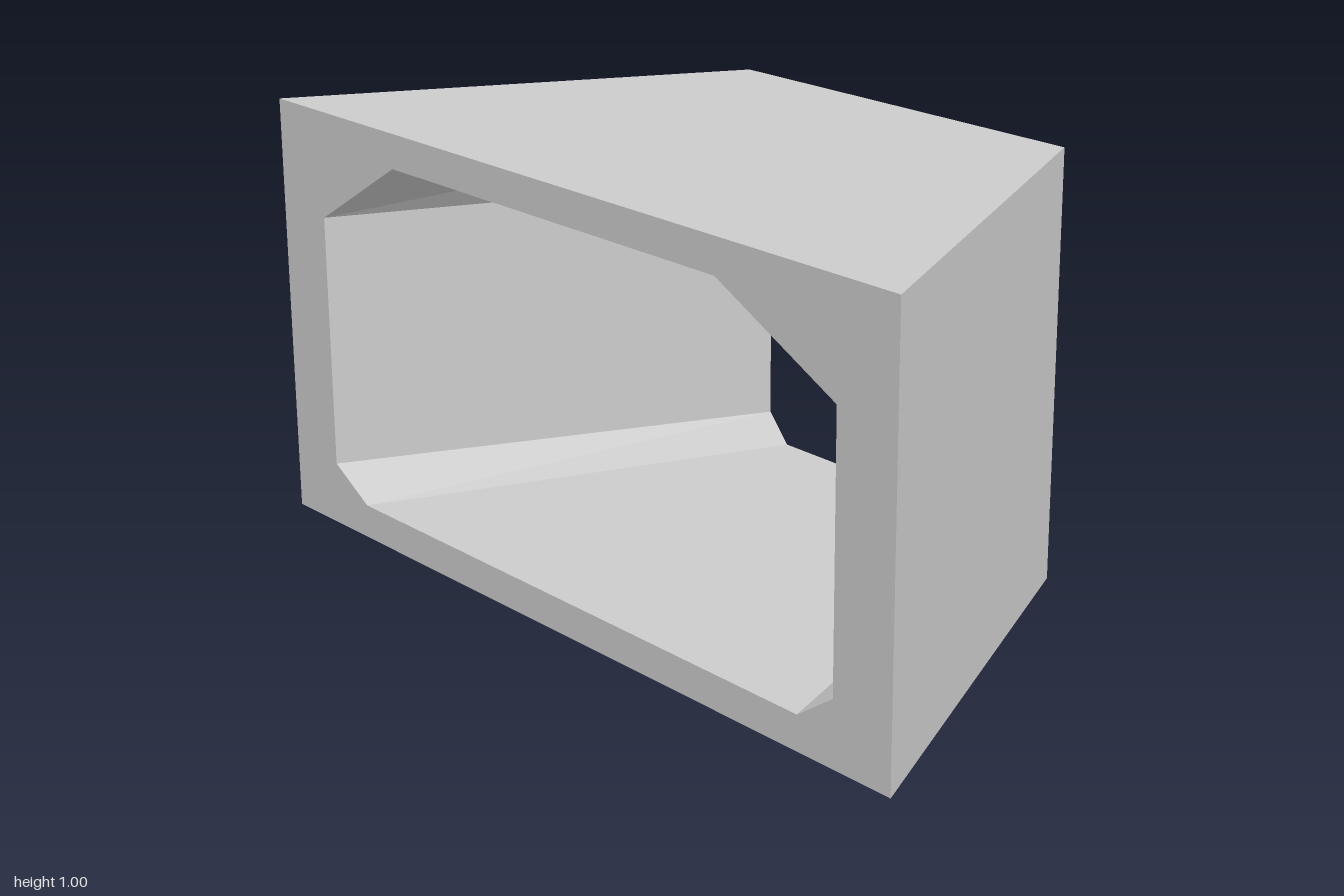
import * as THREE from 'three';

export function createModel() {
  const group = new THREE.Group();
  group.name = 'taperedDuct';

  // Narrow-end section (horizontal = -z, vertical = y)
  const points = (list) => list.map(([u, v]) => new THREE.Vector2(u, v));
  const section = new THREE.Shape(points([[-0.5, 0], [0.5, 0], [0.5, 1], [-0.5, 1]]));

  // Through opening with unequal chamfered corners
  section.holes.push(new THREE.Path(points([
    [-0.37, 0.08], [-0.42, 0.15], [-0.42, 0.75], [-0.25, 0.92],
    [0.28, 0.92], [0.42, 0.75], [0.42, 0.15], [0.36, 0.08],
  ])));

  // Run the section along x
  const geometry = new THREE.ExtrudeGeometry(section, { depth: 1, bevelEnabled: false });
  geometry.translate(0, 0, -0.5);
  geometry.rotateY(Math.PI / 2);

  // Widen in z to double at the -x end
  const pos = geometry.attributes.position;
  for (let i = 0; i < pos.count; i++) {
    pos.setZ(i, pos.getZ(i) * (1.5 - pos.getX(i)));
  }
  geometry.computeVertexNormals();

  const duct = new THREE.Mesh(
    geometry,
    new THREE.MeshStandardMaterial({ color: 0xcccccc, flatShading: true }),
  );
  duct.name = 'ductShell';
  group.add(duct);
  return group;
}
